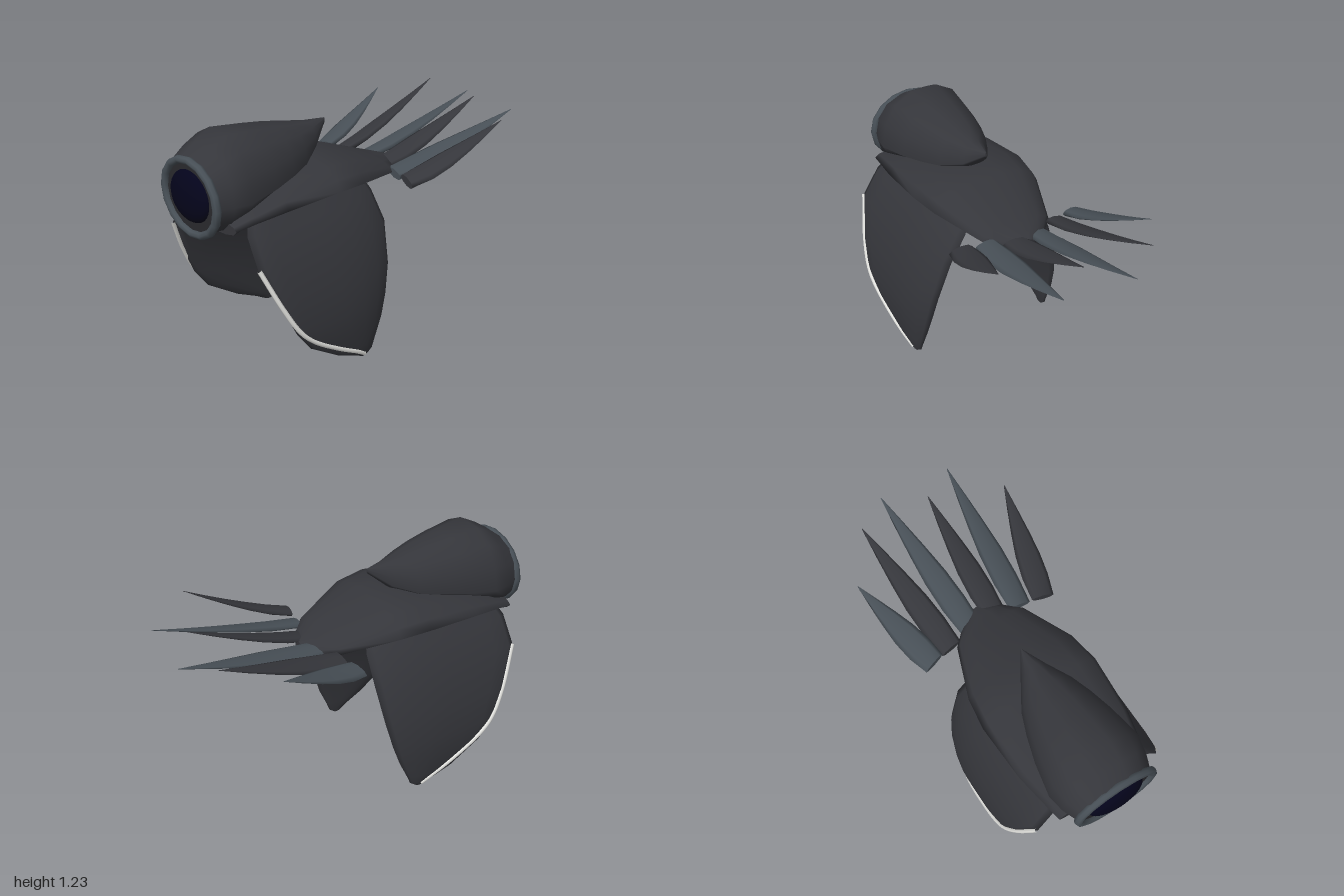
import * as THREE from 'three';

const mat = (name, color) => {
  const m = new THREE.MeshStandardMaterial({ color });
  m.name = name;
  return m;
};

// Closed loft through rings of points; the ends are capped with their own vertices.
function loft(rings) {
  const n = rings[0].length, pos = [], idx = [];
  const add = (p) => pos.push(p.x, p.y, p.z);
  rings.forEach((r) => r.forEach(add));
  for (let i = 0; i < rings.length - 1; i++) {
    for (let j = 0; j < n; j++) {
      const a = i * n + j, b = i * n + (j + 1) % n;
      idx.push(a, b, a + n, b, b + n, a + n);
    }
  }
  [rings[0], rings[rings.length - 1]].forEach((r, end) => {
    const base = pos.length / 3;
    r.forEach(add);
    add(r.reduce((s, p) => s.add(p), new THREE.Vector3()).divideScalar(n));
    for (let j = 0; j < n; j++) {
      const a = base + j, b = base + (j + 1) % n;
      idx.push(...(end ? [a, b, base + n] : [b, a, base + n]));
    }
  });
  // turn the faces outward if the enclosed volume is negative
  const v = (k) => new THREE.Vector3().fromArray(pos, k * 3);
  let volume = 0;
  for (let i = 0; i < idx.length; i += 3) volume += v(idx[i]).dot(v(idx[i + 1]).cross(v(idx[i + 2])));
  if (volume < 0) idx.reverse();
  const g = new THREE.BufferGeometry();
  g.setAttribute('position', new THREE.Float32BufferAttribute(pos, 3));
  g.setIndex(idx);
  g.computeVertexNormals();
  return g;
}

const loop = (n, fn) => Array.from({ length: n }, (_, i) => {
  const a = (i / n) * Math.PI * 2;
  return fn(Math.cos(a), Math.sin(a));
});

// Shell along z from rows of [z, half width, side edge y, top y, underside y];
// an underside above the edge makes the shell hollow below
const CX = 0.005;
const shell = (rows) => loft(rows.map(([z, w, edge, top, under]) => loop(14, (c, s) =>
  new THREE.Vector3(CX + Math.sign(c) * Math.abs(c) ** 0.85 * w,
    edge + s * (s > 0 ? top - edge : edge - under), z))));

export function createModel() {
  const dark = mat('charcoal', 0x35363b);
  const steel = mat('steel grey', 0x474f56);
  const navy = mat('navy lens', 0x04041b);
  const socketGrey = mat('socket grey', 0x29292d);
  const pale = mat('pale edge', 0xf0f0ec);
  const model = new THREE.Group();
  const put = (name, geometry, material, parent = model) => {
    const m = new THREE.Mesh(geometry, material);
    m.name = name;
    parent.add(m);
    return m;
  };

  // Back shell
  put('body', shell([
    [0.87, 0.265, 0.835, 0.87, 0.785],
    [0.78, 0.285, 0.855, 0.905, 0.845],
    [0.6, 0.32, 0.885, 0.97, 0.935],
    [0.3, 0.335, 0.905, 1.02, 0.99],
    [0.13, 0.31, 0.895, 1.01, 0.98],
    [-0.15, 0.2, 0.845, 0.9, 0.875],
    [-0.22, 0.13, 0.83, 0.88, 0.84],
    [-0.28, 0.03, 0.825, 0.86, 0.8],
  ]), dark);

  // Hood tapering to a point over the back
  put('hood', shell([
    [0.94, 0.215, 0.95, 1.14, 0.77],
    [0.86, 0.247, 0.95, 1.195, 0.775],
    [0.77, 0.262, 0.95, 1.245, 0.855],
    [0.6, 0.23, 0.97, 1.225, 0.94],
    [0.47, 0.192, 0.99, 1.207, 0.97],
    [0.36, 0.15, 1.01, 1.185, 0.995],
    [0.24, 0.075, 1.055, 1.165, 1.03],
    [0.13, 0.004, 1.14, 1.156, 1.13],
  ]), dark);

  // Eye: rim, socket plate and domed lens
  const rim = put('eyeRim', new THREE.TorusGeometry(0.21, 0.022, 8, 16), steel);
  rim.scale.set(1.03, 0.88, 1);
  rim.position.set(0.01, 0.947, 0.944);
  const socket = put('eyeSocket', new THREE.CircleGeometry(0.21, 32), socketGrey);
  socket.scale.set(1.03, 0.88, 1);
  socket.position.set(0.01, 0.947, 0.944);
  const lens = put('eyeLens', new THREE.SphereGeometry(1, 28, 16), navy);
  lens.scale.set(0.155, 0.13, 0.055);
  lens.position.set(0.01, 0.955, 0.94);

  // Side fins: rows of [y, centre x, half thickness, back z, front z]
  const finRows = [
    [0.93, 0.15, 0.06, 0.12, 0.6],
    [0.88, 0.18, 0.062, 0.03, 0.78],
    [0.8, 0.235, 0.062, -0.002, 0.82],
    [0.66, 0.325, 0.056, -0.012, 0.825],
    [0.45, 0.385, 0.05, 0.015, 0.735],
    [0.3, 0.407, 0.047, 0.05, 0.665],
    [0.19, 0.414, 0.038, 0.085, 0.58],
    [0.08, 0.412, 0.027, 0.135, 0.4],
    [0.03, 0.408, 0.015, 0.155, 0.28],
    [0.004, 0.405, 0.007, 0.19, 0.23],
  ];
  // pale strip down the front edge, moving onto the outer face lower down
  const strip = [
    [0.364, 0.66, 0.822], [0.421, 0.45, 0.73], [0.448, 0.31, 0.65], [0.453, 0.235, 0.575],
    [0.444, 0.125, 0.4], [0.43, 0.06, 0.28], [0.414, 0.018, 0.215],
  ];
  for (const side of [1, -1]) {
    const fin = new THREE.Group();
    fin.name = side > 0 ? 'leftFin' : 'rightFin';
    model.add(fin);
    const at = (x) => 0.01 + side * x;
    // the front edge leans outward and the back edge inward
    put('finBlade', loft(finRows.map(([y, x, h, z0, z1]) => loop(16, (c, s) =>
      new THREE.Vector3(at(x + h * (0.97 * s + c * c * (c > 0 ? 0.65 : -0.5))), y,
        (z0 + z1) / 2 + c * (z1 - z0) / 2)))), dark, fin);
    const path = strip.map(([x, y, z]) => new THREE.Vector3(at(x), y, z));
    put('finEdge', new THREE.TubeGeometry(new THREE.CatmullRomCurve3(path), 32, 0.012, 6), pale, fin);
  }

  // Tail feathers: [base x, base z, tip x, tip y, tip z, roll]
  const feathers = [
    [-0.335, -0.145, -0.465, 1.02, -0.64, 0.2],
    [-0.22, -0.165, -0.29, 1.07, -0.88, 0.2],
    [-0.075, -0.2, -0.11, 1.02, -1.0, 0.12],
    [0.068, -0.2, 0.085, 1.07, -0.85, -0.12],
    [0.2, -0.17, 0.265, 1.02, -0.955, -0.2],
    [0.325, -0.145, 0.445, 1.07, -0.69, -0.2],
  ];
  const widths = [0.058, 0.068, 0.063, 0.046, 0.025, 0.002];
  feathers.forEach(([bx, bz, tx, ty, tz, roll], i) => {
    const lean = (tx - bx) / (tz - bz);
    const rings = widths.map((w, k) => {
      const t = k / (widths.length - 1);
      const x = bx + (tx - bx) * t, z = bz + (tz - bz) * t;
      const y = 0.835 + (ty - 0.835) * t ** 1.25;
      return loop(8, (c, s) => new THREE.Vector3(
        x + c * w, y + s * (0.001 + 0.022 * (1 - t)) + c * w * roll, z - c * w * lean));
    });
    put('tailFeather' + (i + 1), loft(rings), i % 2 ? dark : steel);
  });

  return model;
}
